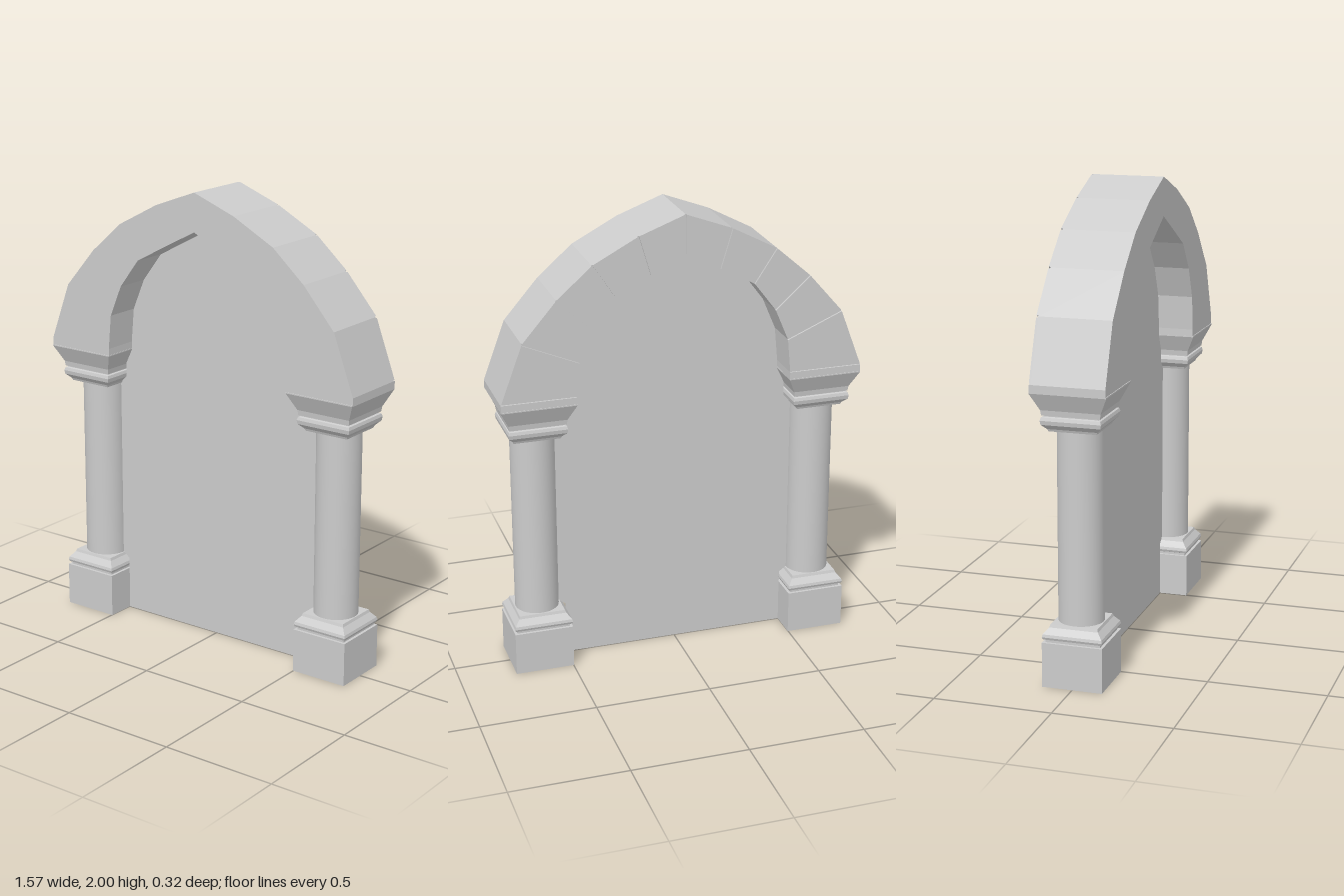
import * as THREE from 'three';

const material = new THREE.MeshStandardMaterial({ color: 0xcccccc });
const flat = new THREE.MeshStandardMaterial({ color: 0xcccccc, flatShading: true });
const thin = new THREE.MeshStandardMaterial({ color: 0xcccccc, side: THREE.DoubleSide });

const AXIS = 0.626; // x of each column

// Half of the arch, from apex to springing
const outer = [[0, 2], [0.2, 1.925], [0.395, 1.822], [0.545, 1.69], [0.692, 1.52], [0.787, 1.265]];
const inner = [[0, 1.835], [0.15, 1.757], [0.3, 1.677], [0.395, 1.552], [0.453, 1.415], [0.467, 1.265]];
const footOuter = [0.787, 1.23], footInner = [0.467, 1.23];

const mirror = (points) => points.map(([x, y]) => [-x, y]);
const toShape = (points) => new THREE.Shape(points.map(([x, y]) => new THREE.Vector2(x, y)));
const lerp = (a, b, t) => [a[0] + (b[0] - a[0]) * t, a[1] + (b[1] - a[1]) * t];

function add(parent, name, geometry, mat) {
  const mesh = new THREE.Mesh(geometry, mat);
  mesh.name = name;
  parent.add(mesh);
  return mesh;
}

function slab(points, z0, z1) {
  const geometry = new THREE.ExtrudeGeometry(toShape(points), { depth: z1 - z0, bevelEnabled: false });
  return geometry.translate(0, 0, z0);
}

// Square moulding from [half width, height] pairs
function squareMoulding(profile) {
  const points = profile.map(([h, y]) => new THREE.Vector2(h * Math.SQRT2, y));
  return new THREE.LatheGeometry(points, 4).rotateY(Math.PI / 4);
}

function createPier(side) {
  const pier = new THREE.Group();
  pier.name = side > 0 ? 'leftPier' : 'rightPier';
  pier.position.x = side * AXIS;
  add(pier, 'plinth', new THREE.BoxGeometry(0.256, 0.19, 0.256).translate(0, 0.095, 0), material);
  add(pier, 'baseMoulding', squareMoulding([
    [0.116, 0.19], [0.116, 0.2], [0.124, 0.203], [0.128, 0.213], [0.125, 0.225], [0.104, 0.25], [0.1, 0.262], [0, 0.262],
  ]), flat);
  add(pier, 'shaft', new THREE.CylinderGeometry(0.095, 0.095, 0.83, 32, 1, true).translate(0, 0.665, 0), material);
  add(pier, 'capital', squareMoulding([
    [0, 1.068], [0.1, 1.068], [0.104, 1.078], [0.124, 1.098], [0.127, 1.115], [0.123, 1.128], [0.114, 1.131],
    [0.114, 1.138],
  ]), flat);
  add(pier, 'impost', squareMoulding([
    [0, 1.136], [0.122, 1.136], [0.125, 1.158], [0.16, 1.23], [0.16, 1.235], [0, 1.235],
  ]), flat);
  return pier;
}

function createArch() {
  const arch = new THREE.Group();
  arch.name = 'arch';
  const half = (edge, foot) => [...edge, foot];
  const o = half(outer, footOuter), i = half(inner, footInner);
  const ring = [
    ...mirror(o).reverse(), ...o.slice(1),
    ...i.slice().reverse(), ...mirror(i).slice(1),
  ];
  add(arch, 'archRing', slab(ring, -0.15, 0.157), material);

  // Stone facings with narrow joints on the back
  for (const side of [1, -1]) {
    for (let k = 0; k < outer.length - 1; k++) {
      const gap = 0.018;
      const stone = [
        lerp(outer[k], outer[k + 1], gap), lerp(outer[k], outer[k + 1], 1 - gap),
        lerp(inner[k], inner[k + 1], 1 - gap), lerp(inner[k], inner[k + 1], gap),
      ];
      add(arch, 'archStone', slab(side > 0 ? stone : mirror(stone), -0.158, -0.15), material);
    }
    const foot = [outer[5], footOuter, footInner, inner[5]];
    add(arch, 'archFoot', slab(side > 0 ? foot : mirror(foot), -0.158, -0.15), material);
  }
  return arch;
}

export function createModel() {
  const model = new THREE.Group();
  model.name = 'archway';
  model.add(createPier(1), createPier(-1), createArch());

  // Thin sheet filling the opening
  const edge = [
    [0.499, 0], [0.499, 0.24], [0.531, 0.262], [0.531, 1.07], [0.5, 1.1], [0.5, 1.16],
    footInner, ...inner.slice().reverse(),
  ];
  const outline = [...edge, ...mirror(edge).reverse().slice(1)];
  add(model, 'openingPanel', new THREE.ShapeGeometry(toShape(outline)), thin);
  return model;
}
